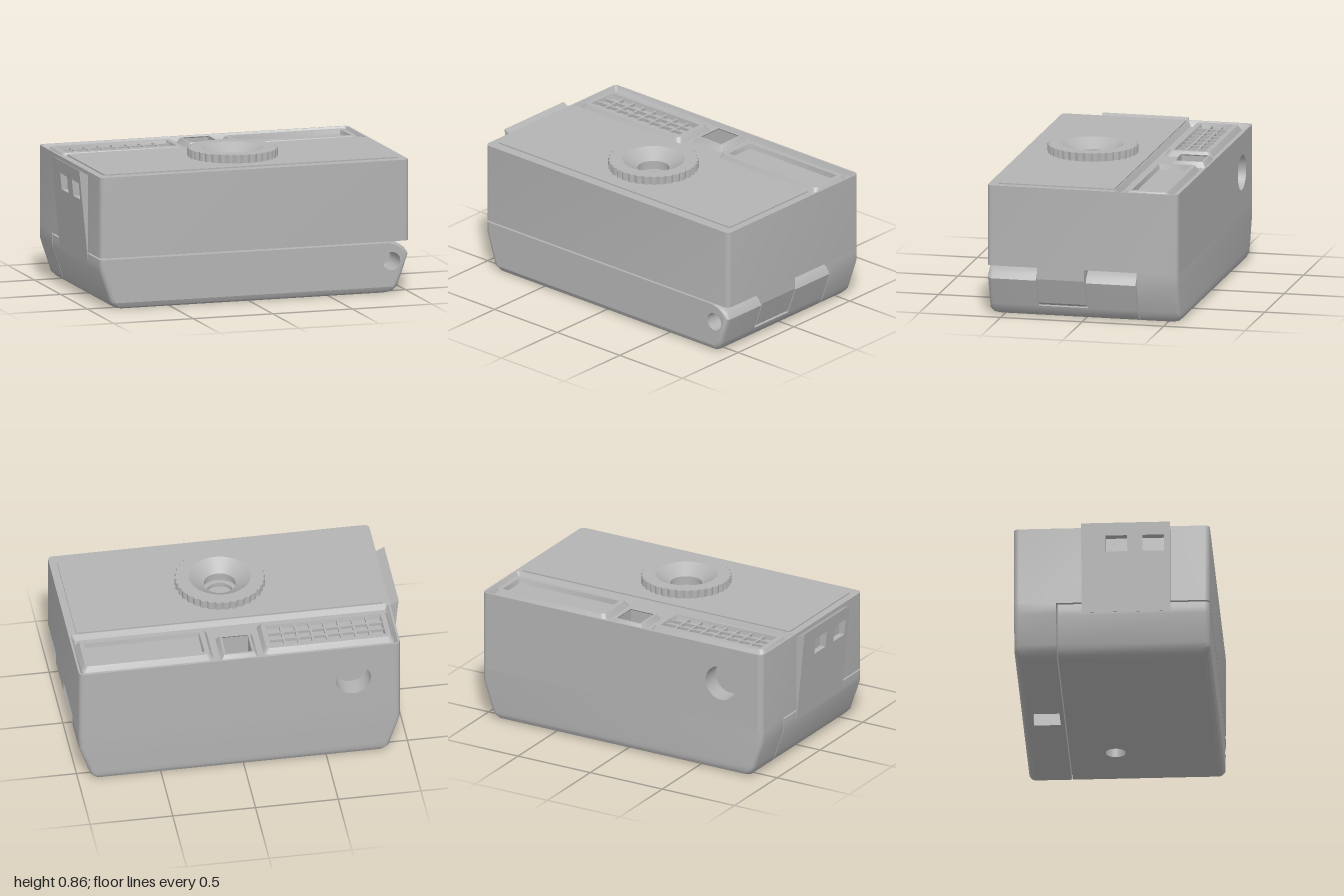
import * as THREE from 'three';
import { toCreasedNormals } from 'three/addons/utils/BufferGeometryUtils.js';

const K = 5; // points per rounded corner
const V2 = (x, y) => new THREE.Vector2(x, y);

// Rounded rectangle as [x, z] points; notch = x depth of a cut in the +x side
function ring(x0, x1, z0, z1, rBack = 0, rFront = rBack, notch = null) {
  const pts = [];
  const corner = (cx, cz, r, a) => {
    for (let i = 0; i < K; i++) {
      const t = a - (i / (K - 1)) * Math.PI / 2;
      pts.push([cx + r * Math.cos(t), cz + r * Math.sin(t)]);
    }
  };
  corner(x0 + rBack, z0 + rBack, rBack, -Math.PI / 2);
  corner(x0 + rFront, z1 - rFront, rFront, Math.PI);
  corner(x1 - rFront, z1 - rFront, rFront, Math.PI / 2);
  if (notch !== null) pts.push([x1, 0.285], [notch, 0.285], [notch, -0.02], [x1, -0.02]);
  corner(x1 - rBack, z0 + rBack, rBack, 0);
  return pts;
}

function circle(cx, cz, r, n = 32) {
  return Array.from({ length: n }, (_, i) => {
    const a = i / n * Math.PI * 2;
    return [cx + r * Math.cos(a), cz + r * Math.sin(a)];
  });
}

// Walls through a stack of [y, ring]; inward turns them to face the inside
function loft(levels, { inward = false, skip = () => false } = {}) {
  const pos = [];
  for (let i = 0; i + 1 < levels.length; i++) {
    const [ya, A] = levels[i], [yb, B] = levels[i + 1], n = A.length;
    for (let j = 0; j < n; j++) {
      if (skip(j, i)) continue;
      const k = (j + 1) % n;
      const a = [A[j][0], ya, A[j][1]], b = [A[k][0], ya, A[k][1]];
      const c = [B[k][0], yb, B[k][1]], d = [B[j][0], yb, B[j][1]];
      pos.push(...(inward ? [a, c, b, a, d, c] : [a, b, c, a, c, d]).flat());
    }
  }
  const g = new THREE.BufferGeometry();
  g.setAttribute('position', new THREE.Float32BufferAttribute(pos, 3));
  return toCreasedNormals(g, 0.6);
}

function flatShape(pts, holes, s) {
  const shape = new THREE.Shape(pts.map(p => V2(p[0], s * p[1])));
  shape.holes = holes.map(h => new THREE.Path(h.map(p => V2(p[0], s * p[1]))));
  return shape;
}

// Level face at height y
function cap(pts, y, up = true, holes = []) {
  return new THREE.ShapeGeometry(flatShape(pts, holes, up ? -1 : 1))
    .rotateX(up ? -Math.PI / 2 : Math.PI / 2).translate(0, y, 0);
}

// Upright slab from y with height h
function slab(pts, y, h, holes = []) {
  return new THREE.ExtrudeGeometry(flatShape(pts, holes, -1), { depth: h, bevelEnabled: false })
    .rotateX(-Math.PI / 2).translate(0, y, 0);
}

export function createModel() {
  const root = new THREE.Group();
  const grey = new THREE.MeshStandardMaterial({ color: 0xb3b3b3, side: THREE.DoubleSide });
  grey.name = 'plain grey';
  const group = (name) => {
    const g = new THREE.Group();
    g.name = name;
    root.add(g);
    return g;
  };
  const add = (parent, name, geometry) => {
    const m = new THREE.Mesh(geometry, grey);
    m.name = name;
    parent.add(m);
    return m;
  };

  const X0 = -0.945, X1 = 0.997, Z = 0.585, R = 0.03;
  const TOP = 0.805, FLOOR = 0.772, SEAM = 0.315;
  const finder = ring(-0.06, 0.1, -0.517, -0.357);
  const dialX = 0.025, dialZ = 0.165;
  const lensHole = circle(dialX, dialZ, 0.185, 48);

  // Main body with a sunken strip along the back of its top
  const body = group('body');
  const outline = ring(X0, X1, -Z, Z, R);
  const backEdge = outline.length - 1;
  const recessTop = ring(-0.933, 0.985, -0.573, -0.19, 0.015);
  const recessFloor = ring(-0.915, 0.967, -0.555, -0.208, 0.01);
  add(body, 'bodyWalls', loft([[SEAM, outline], [TOP, outline]], { skip: j => j === backEdge }));
  add(body, 'bodyTop', cap(outline, TOP, true, [recessTop, lensHole]));
  add(body, 'bodyUnderside', cap(outline, SEAM, false, [finder]));
  add(body, 'recessWalls', loft([[FLOOR, recessFloor], [TOP, recessTop]], { inward: true }));
  add(body, 'recessFloor', cap(recessFloor, FLOOR, true, [finder]));
  add(body, 'facePlate', slab(ring(-0.9, 0.95, -0.185, 0.52, 0.01), TOP, 0.008, [lensHole]));

  // Back wall with its round pocket
  const backWall = flatShape([[X0 + R, SEAM], [X1 - R, SEAM], [X1 - R, TOP], [X0 + R, TOP]],
    [circle(-0.66, 0.57, 0.107)], 1);
  add(body, 'backWall', new THREE.ShapeGeometry(backWall).scale(-1, 1, 1).rotateY(Math.PI)
    .scale(1, 1, 1).translate(0, 0, -Z)).geometry = new THREE.ShapeGeometry(
    flatShape([[-X0 - R, SEAM], [-X1 + R, SEAM], [-X1 + R, TOP], [-X0 - R, TOP]],
      [circle(0.66, 0.57, 0.107)], 1)).rotateY(Math.PI).translate(0, 0, -Z);
  add(body, 'backPocket', new THREE.CylinderGeometry(0.107, 0.107, 0.12, 32, 1, true)
    .rotateX(Math.PI / 2).translate(-0.66, 0.57, -Z + 0.06));
  add(body, 'backPocketFloor', new THREE.CircleGeometry(0.107, 32)
    .rotateY(Math.PI).translate(-0.66, 0.57, -Z + 0.12));

  // Lower profile shared by the back foot and the lid: y, left x, right x, z inset
  const foot = [[0, -0.82, 0.87, 0.04], [0.012, -0.85, 0.9, 0.014],
    [0.04, -0.877, 0.926, 0], [0.07, -0.887, 0.937, 0]];
  const footLevels = [...foot, [0.245, X0, X1, 0], [SEAM, X0, X1, 0]]
    .map(([y, a, b, d]) => [y, ring(a, b, -Z + d, -0.332, R, 0)]);
  add(body, 'backFootWalls', loft(footLevels));
  add(body, 'backFootBottom', cap(footLevels[0][1], 0, false, [finder]));
  add(body, 'viewfinderTunnel', loft([[0, finder], [0.8, finder]], { inward: true }));

  // Hinge knuckle hanging from the body into the lid's notch
  const knuckle = new THREE.Shape([V2(0.87, 0.33), V2(0.87, 0.08), V2(0.925, 0.076),
    V2(0.942, 0.09), V2(X1, 0.245), V2(X1, 0.33)]);
  add(body, 'hingeKnuckle', new THREE.ExtrudeGeometry(knuckle, { depth: 0.289, bevelEnabled: false })
    .translate(0, 0, -0.012));

  // Hinged lid underneath
  const lid = group('lid');
  const lidRing = ([y, a, b, d], notch) => [y, ring(a, b, -0.325, Z - d, 0, R, notch ?? b)];
  const lidLevels = [
    ...foot.map(p => lidRing(p)),
    ...[foot[3], [0.235, -0.943, 0.994, 0], [0.27, X0, 0.972, 0],
      [0.292, X0, 0.943, 0], [0.305, X0, 0.9, 0]].map(p => lidRing(p, 0.86)),
  ];
  const front = 2 * K - 1;
  add(lid, 'lidWalls', loft(lidLevels, { skip: (j, i) => j === front && i >= 2 }));
  const mount = circle(0.51, -0.05, 0.06, 24);
  add(lid, 'lidBottom', cap(lidLevels[0][1], 0, false, [mount]));
  add(lid, 'lidTop', cap(lidLevels.at(-1)[1], 0.305));
  add(lid, 'mountSocket', loft([[0, mount], [0.1, mount]], { inward: true }));
  add(lid, 'mountSocketEnd', cap(mount, 0.1, false));

  // Lid front face with the hinge pin hole
  const upper = lidLevels.slice(2);
  const facePts = [...upper.map(([y, r]) => [r[front][0], y]),
    ...upper.map(([y, r]) => [r[front + 1][0], y]).reverse()];
  add(lid, 'lidFront', new THREE.ShapeGeometry(flatShape(facePts, [circle(0.885, 0.195, 0.055, 24)], 1))
    .translate(0, 0, Z));
  add(lid, 'pinHole', new THREE.CylinderGeometry(0.055, 0.055, 0.2, 24, 1, true)
    .rotateX(Math.PI / 2).translate(0.885, 0.195, Z - 0.1));
  add(lid, 'pinHoleEnd', new THREE.CircleGeometry(0.055, 24).translate(0.885, 0.195, Z - 0.2));

  // Latch: a plate with two slots, leaning out toward its hooked top
  const latchShape = flatShape([[-0.18, 0.25], [0.35, 0.25], [0.35, 0.81], [-0.18, 0.81]],
    [0.03, 0.25].map(z => [[z - 0.065, 0.63], [z + 0.065, 0.63], [z + 0.065, 0.73], [z - 0.065, 0.73]]), 1);
  const latch = new THREE.ExtrudeGeometry(latchShape, { depth: 1, bevelEnabled: false }).rotateY(-Math.PI / 2);
  const p = latch.attributes.position;
  for (let i = 0; i < p.count; i++) {
    const t = -p.getX(i), y = p.getY(i);
    const outer = X0 - 0.055 * (y - 0.25) / 0.56;
    p.setX(i, THREE.MathUtils.lerp(-0.94, outer, t));
    if (y > 0.8 && t < 0.5) p.setY(i, 0.778);
  }
  latch.computeVertexNormals();
  add(lid, 'latch', latch);

  // Raised frames in the sunken strip
  function frame(name, x0, x1, z0, z1, slope, border, r, top, pane) {
    const g = group(name);
    const rect = (d, rad) => ring(x0 + d, x1 - d, z0 + d, z1 - d, rad);
    const rim = rect(slope, r), hole = rect(border, 0.004), inner = rect(border + 0.006, 0.004);
    add(g, 'frameSides', loft([[FLOOR, rect(0, r)], [top, rim]]));
    add(g, 'frameRim', cap(rim, top, true, [hole]));
    if (pane) {
      add(g, 'frameInside', loft([[FLOOR + 0.004, inner], [top, hole]], { inward: true }));
      add(g, 'pane', cap(inner, FLOOR + 0.004));
    }
    return g;
  }
  const grille = frame('grilleFrame', -0.922, -0.128, -0.527, -0.235, 0.02, 0.05, 0.03, TOP, true);
  frame('windowFrame', 0.173, 0.967, -0.527, -0.235, 0.02, 0.05, 0.03, TOP, true);
  frame('viewfinderFrame', -0.092, 0.132, -0.549, -0.325, 0.02, 0.032, 0.004, TOP, false);

  // Grille ribs
  const gx0 = -0.87, gx1 = -0.18, gz0 = -0.475, gz1 = -0.287;
  const rib = (x, z, w, d) => add(grille, 'rib', new THREE.BoxGeometry(w, 0.02, d).translate(x, 0.785, z));
  for (let i = 1; i < 8; i++) rib(gx0 + (gx1 - gx0) * i / 8, (gz0 + gz1) / 2, 0.014, gz1 - gz0);
  for (let i = 1; i < 3; i++) rib((gx0 + gx1) / 2, gz0 + (gz1 - gz0) * i / 3, gx1 - gx0, 0.014);

  // Scalloped dial around the lens
  const dial = group('lensDial');
  const teeth = 34, steps = teeth * 6;
  const edge = Array.from({ length: steps }, (_, i) => {
    const a = i / steps * Math.PI * 2;
    const r = 0.258 + 0.013 * Math.abs(Math.sin(a * teeth / 2));
    return [dialX + r * Math.cos(a), dialZ + r * Math.sin(a)];
  });
  add(dial, 'dialRing', slab(edge, 0.81, 0.053, [lensHole]));
  const cone = [[0.185, 0.863], [0.095, 0.805], [0.095, 0.775], [0.11, 0.775], [0.11, 0.745],
    [0.08, 0.745], [0.08, 0.72], [0, 0.72]].map(([r, y]) => V2(r, y)).reverse();
  add(dial, 'lensCone', toCreasedNormals(new THREE.LatheGeometry(cone, 48).toNonIndexed(), 0.5)
    .translate(dialX, 0, dialZ));

  return root;
}
